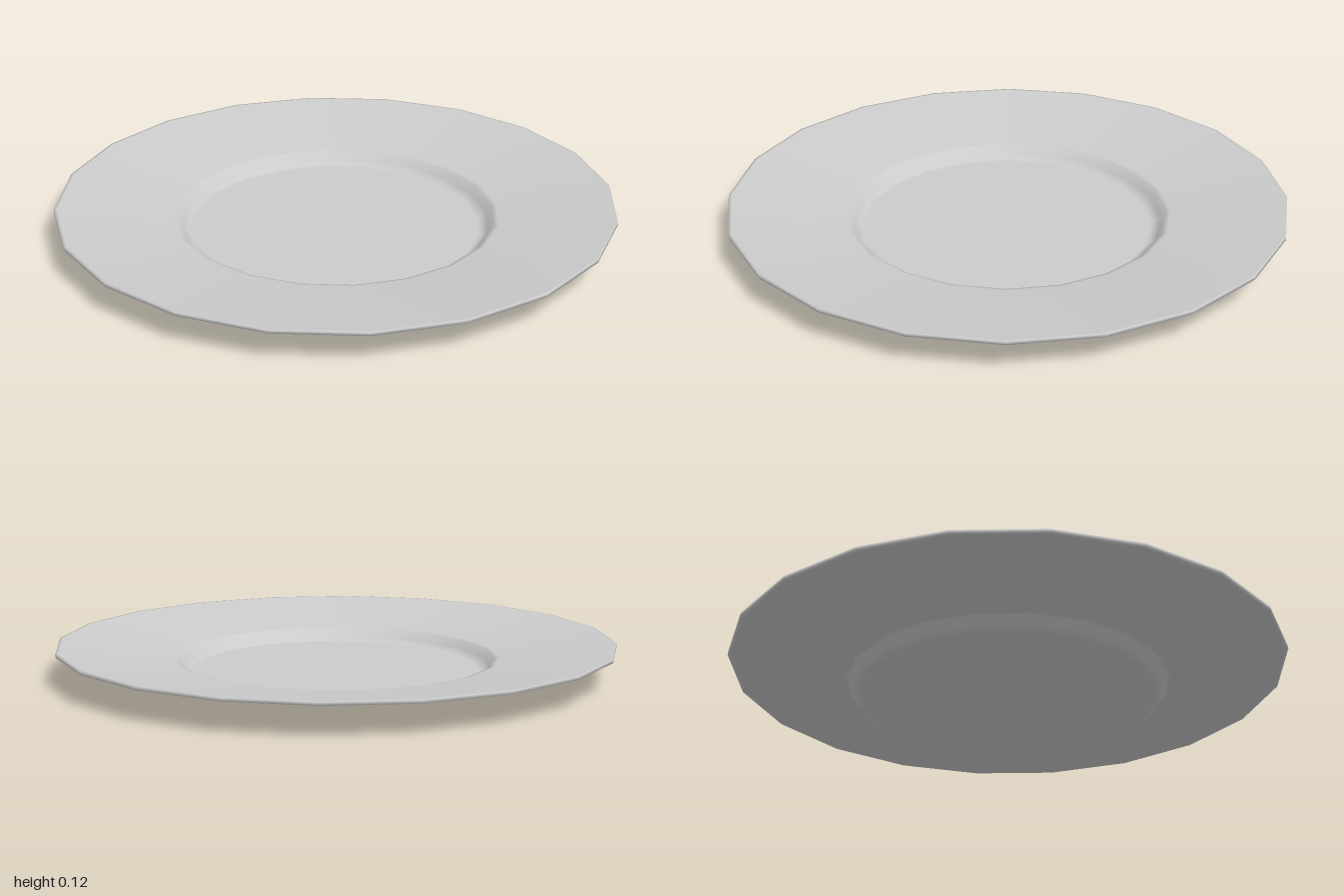
import * as THREE from 'three';

export function createModel() {
  const group = new THREE.Group();
  const material = new THREE.MeshStandardMaterial({ color: 0xcccccc });

  // Closed cross-section: underside outwards, over the rim, back across the top.
  // Close pairs of points keep the broad faces evenly shaded.
  const profile = [
    [0, 0], [0.52, 0], [0.535, 0.002], [0.56, 0.018], [0.572, 0.042], [0.585, 0.046],
    [0.99, 0.104], [1, 0.106], [1, 0.118], [0.99, 0.118],
    [0.585, 0.062], [0.568, 0.058], [0.55, 0.032], [0.532, 0.018], [0.515, 0.015], [0, 0.015],
  ].map(([r, y]) => new THREE.Vector2(r, y));

  const plate = new THREE.Mesh(new THREE.LatheGeometry(profile, 20), material);
  plate.name = 'plate';
  group.add(plate);
  return group;
}
